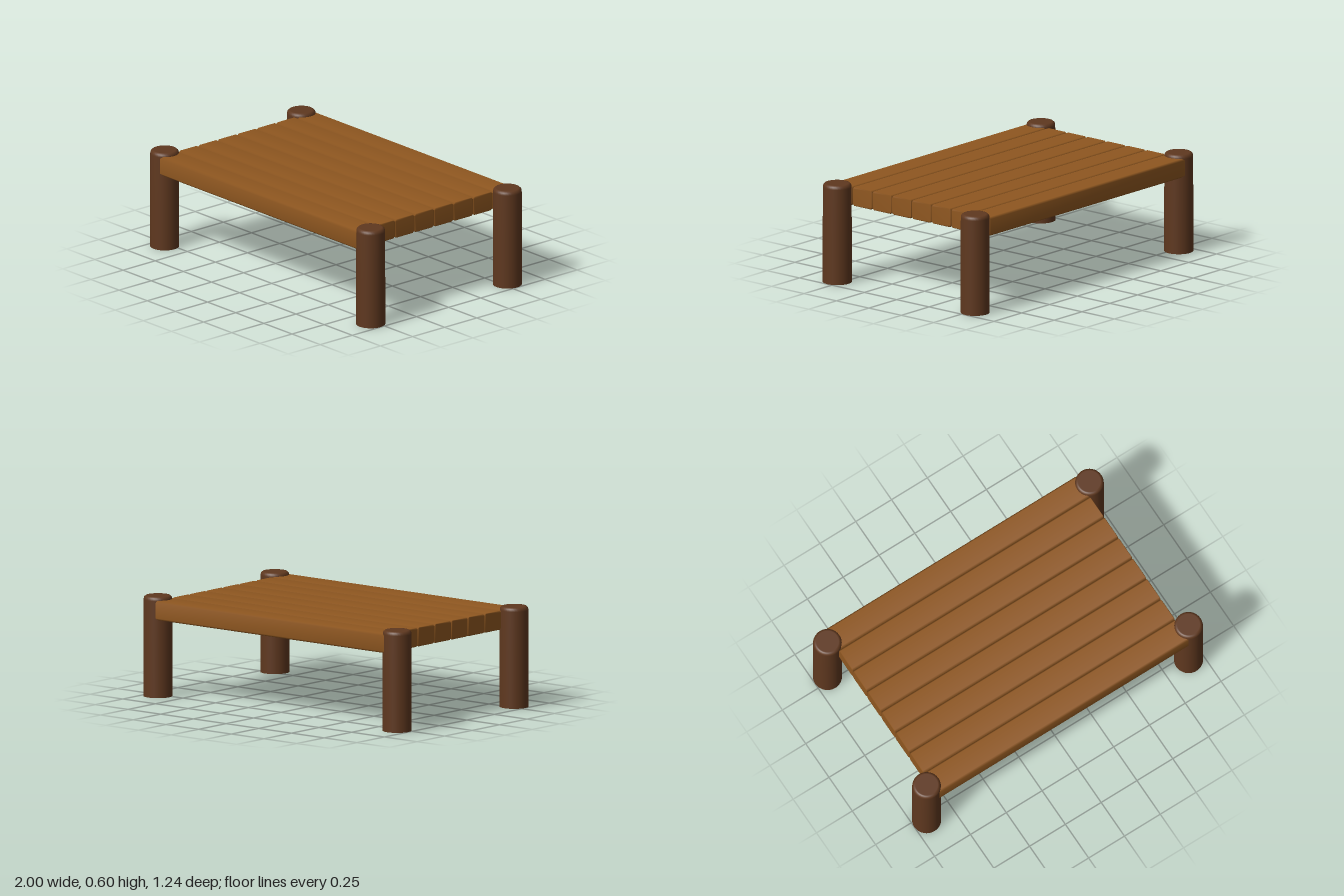
import * as THREE from 'three';
import { mergeVertices } from 'three/addons/utils/BufferGeometryUtils.js';

const legWood = new THREE.MeshStandardMaterial({ color: 0x5f381f });
const plankWood = new THREE.MeshStandardMaterial({ color: 0x8f5720 });

// Plank: a chamfered section swept along x, shaded smoothly across its edges
function plankGeometry(length, height, depth) {
  const bevel = 0.004, c = 0.009;
  const w = depth / 2 - bevel, h = height / 2 - bevel;
  const section = new THREE.Shape([
    [w, -h + c], [w, h - c], [w - c, h], [-w + c, h],
    [-w, h - c], [-w, -h + c], [-w + c, -h], [w - c, -h],
  ].map(([x, y]) => new THREE.Vector2(x, y)));
  const geometry = new THREE.ExtrudeGeometry(section, {
    depth: length - 2 * bevel, bevelSize: bevel, bevelThickness: bevel, bevelSegments: 1,
  });
  geometry.translate(0, 0, bevel - length / 2).rotateY(Math.PI / 2);
  geometry.deleteAttribute('normal');
  geometry.deleteAttribute('uv');
  const smooth = mergeVertices(geometry, 1e-4);
  smooth.computeVertexNormals();
  return smooth;
}

export function createModel() {
  const model = new THREE.Group();
  model.name = 'logTable';

  // Tabletop: eight planks side by side
  const top = new THREE.Group();
  top.name = 'tabletop';
  const count = 8, pitch = 0.152;
  const plank = plankGeometry(1.755, 0.114, 0.151);
  for (let i = 0; i < count; i++) {
    const mesh = new THREE.Mesh(plank, plankWood);
    mesh.name = `plank${i + 1}`;
    mesh.position.set(-0.007, 0.521, (i - (count - 1) / 2) * pitch - 0.002);
    top.add(mesh);
  }
  model.add(top);

  // Legs: round posts with a softened top rim
  const r = 0.0855, height = 0.597;
  const profile = [
    [r, 0], [r, 0.28], [r - 0.001, height - 0.022], [r - 0.004, height - 0.008],
    [r - 0.013, height], [r - 0.02, height], [0, height],
  ].map(([x, y]) => new THREE.Vector2(x, y));
  const post = new THREE.LatheGeometry(profile, 32);
  const foot = new THREE.CircleGeometry(r, 32).rotateX(Math.PI / 2);
  for (const x of [-1, 1]) {
    for (const z of [-1, 1]) {
      const leg = new THREE.Group();
      leg.name = (z > 0 ? 'front' : 'back') + (x > 0 ? 'Left' : 'Right') + 'Leg';
      const body = new THREE.Mesh(post, legWood);
      body.name = 'post';
      const base = new THREE.Mesh(foot, legWood);
      base.name = 'foot';
      leg.add(body, base);
      leg.position.set(x * (1 - r), 0, z * 0.532);
      model.add(leg);
    }
  }
  return model;
}
